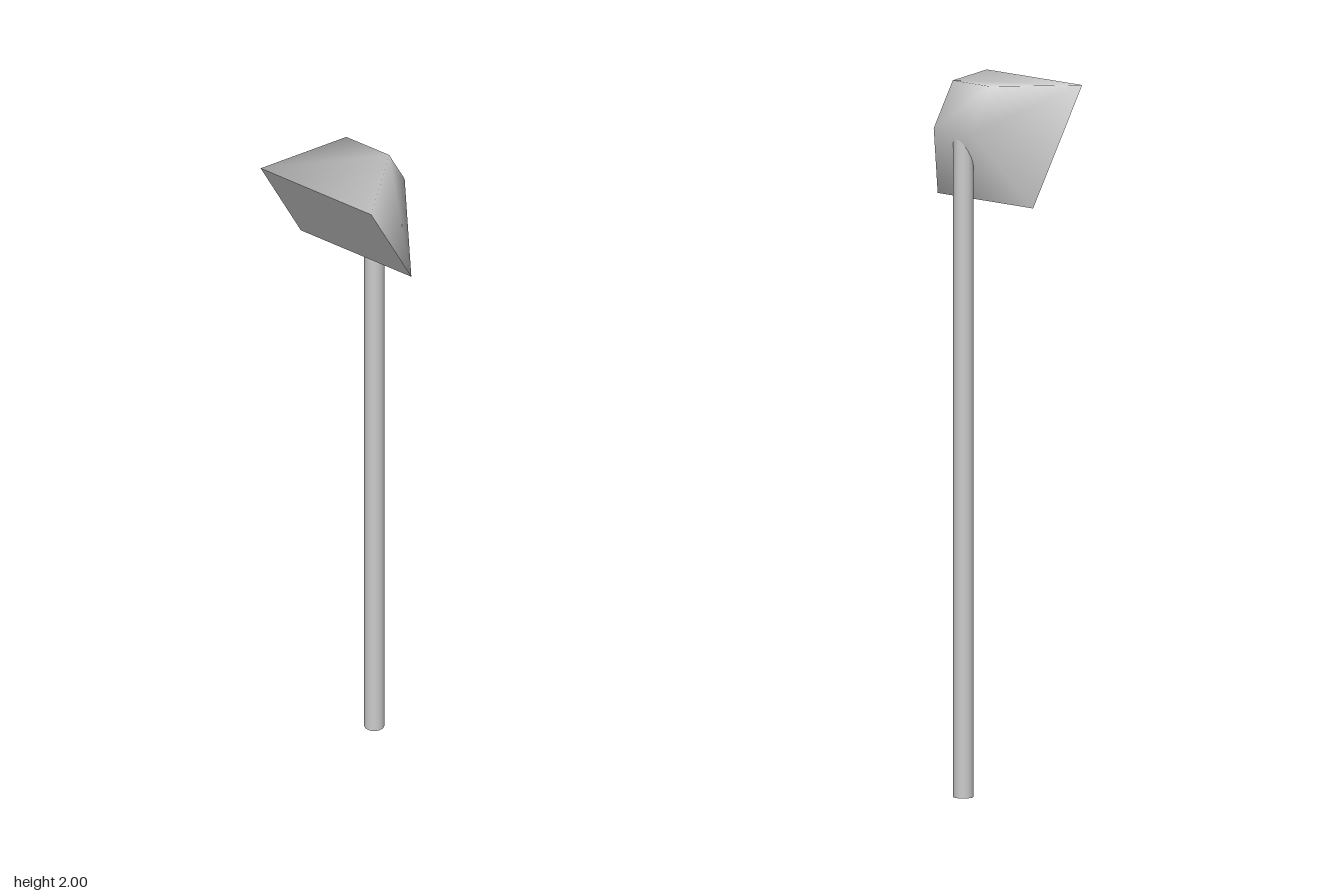
import * as THREE from 'three';
import { mergeVertices } from 'three/addons/utils/BufferGeometryUtils.js';

const FRONT = 0.377, BACK = 0.146, DEPTH = 0.218;

// Tapered shell without its front, smooth over the sides and back
function shellGeometry() {
  const box = new THREE.BoxGeometry(FRONT, FRONT, DEPTH);
  const pos = box.attributes.position;
  const taper = BACK / FRONT;
  for (let i = 0; i < pos.count; i++) {
    if (pos.getZ(i) < 0) pos.setXY(i, pos.getX(i) * taper, pos.getY(i) * taper);
  }
  // Drop the +z side, which the flat front panel replaces
  const index = Array.from(box.index.array);
  index.splice(24, 6);
  box.setIndex(index);
  box.clearGroups();
  box.deleteAttribute('uv');
  box.deleteAttribute('normal');
  const shell = mergeVertices(box);
  shell.computeVertexNormals();
  return shell;
}

export function createModel() {
  const model = new THREE.Group();
  model.name = 'postLamp';
  const material = new THREE.MeshStandardMaterial({ color: 0xcccccc });

  // Post, ending inside the head
  const postHeight = 1.885;
  const post = new THREE.Mesh(new THREE.CylinderGeometry(0.028, 0.028, postHeight, 24), material);
  post.name = 'post';
  post.position.set(0, postHeight / 2, -0.117);
  model.add(post);

  // Head, tilted down towards the front
  const head = new THREE.Group();
  head.name = 'head';
  head.position.set(0, 1.883, -0.029);
  head.rotation.x = THREE.MathUtils.degToRad(30.5);

  const housing = new THREE.Mesh(shellGeometry(), material);
  housing.name = 'housing';
  head.add(housing);

  const panel = new THREE.Mesh(new THREE.PlaneGeometry(FRONT, FRONT), material);
  panel.name = 'frontPanel';
  panel.position.z = DEPTH / 2;
  head.add(panel);

  model.add(head);
  return model;
}
